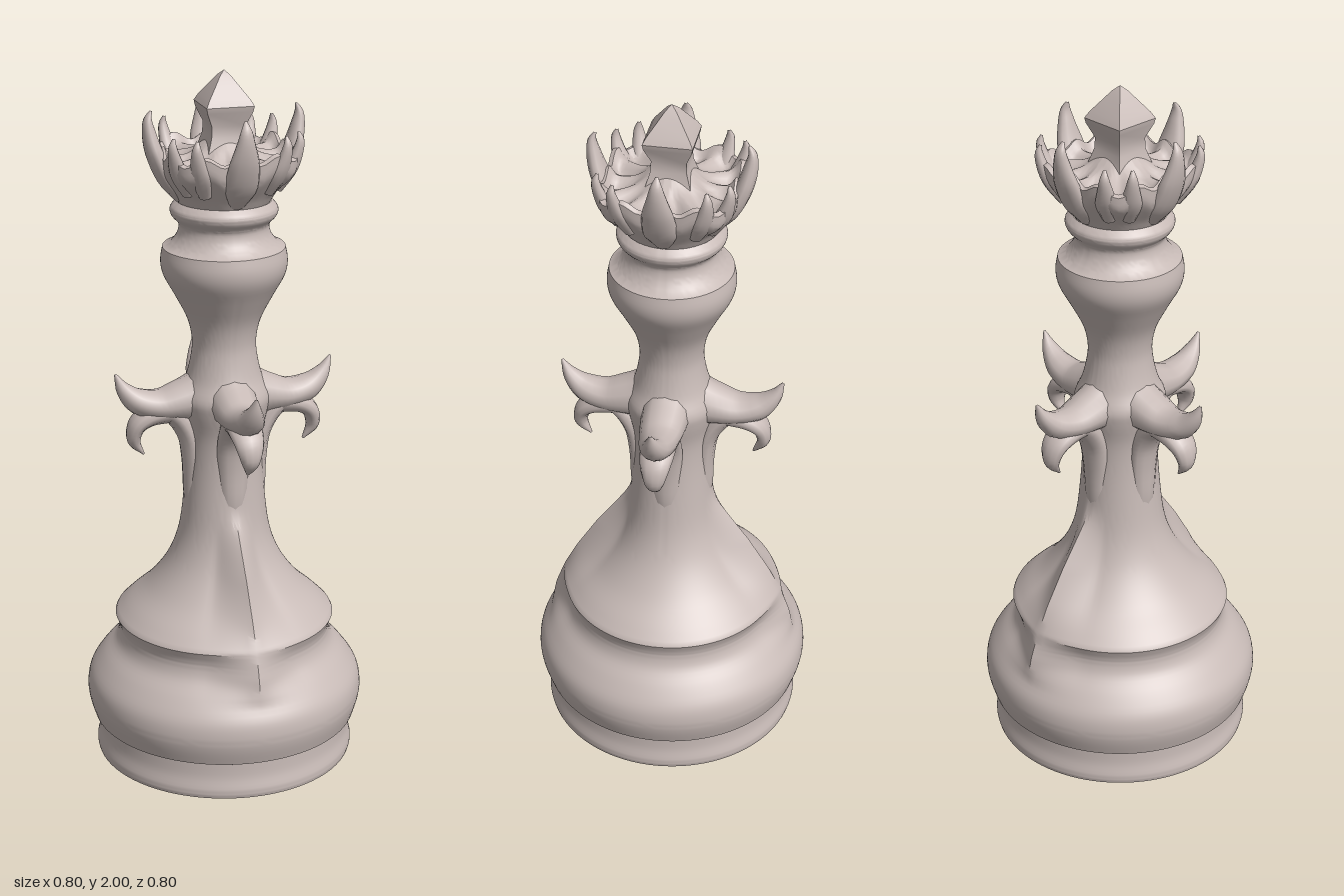
import * as THREE from 'three';
import { toCreasedNormals } from 'three/addons/utils/BufferGeometryUtils.js';

const stone = new THREE.MeshStandardMaterial({ color: 0xc8bbb7 });
stone.name = 'pale stone';

const { smoothstep, clamp, lerp } = THREE.MathUtils;

// Smooth profile through [radius, y] points
function smooth(points, perSpan = 4) {
  const curve = new THREE.SplineCurve(points.map(([r, y]) => new THREE.Vector2(r, y)));
  return curve.getPoints((points.length - 1) * perSpan);
}

// Lathe whose vertices may be moved by rule(radius, y, angle) => [radius, y]
function turned(name, profile, segments, rule, crease = 0.6, phi = 0) {
  const geo = new THREE.LatheGeometry(profile, segments, phi);
  const pos = geo.attributes.position;
  if (rule) {
    for (let i = 0; i < pos.count; i++) {
      const x = pos.getX(i), z = pos.getZ(i);
      const angle = Math.atan2(x, z);
      const [r, y] = rule(Math.hypot(x, z), pos.getY(i), angle);
      pos.setXYZ(i, r * Math.sin(angle), y, r * Math.cos(angle));
    }
  }
  const mesh = new THREE.Mesh(toCreasedNormals(geo, crease), stone);
  mesh.name = name;
  return mesh;
}

// Tapering horn in the xy plane; rows are [x, y, half thickness, half width]
function horn(rows, steps = 20, sides = 12) {
  const path = new THREE.CatmullRomCurve3(rows.map(([x, y]) => new THREE.Vector3(x, y, 0)));
  const size = new THREE.CatmullRomCurve3(rows.map(([, , a, b]) => new THREE.Vector3(a, b, 0)));
  const verts = [], index = [];
  for (let i = 0; i <= steps; i++) {
    const c = path.getPoint(i / steps), t = path.getTangent(i / steps), s = size.getPoint(i / steps);
    const a = Math.max(s.x, 0.001), b = Math.max(s.y, 0.001);
    for (let j = 0; j < sides; j++) {
      const p = (j / sides) * Math.PI * 2;
      const u = a * Math.cos(p);
      verts.push(c.x - t.y * u, c.y + t.x * u, b * Math.sin(p));
      if (i < steps) {
        const k = i * sides, n = (j + 1) % sides;
        index.push(k + j, k + n, k + sides + n, k + j, k + sides + n, k + sides + j);
      }
    }
  }
  const geo = new THREE.BufferGeometry();
  geo.setAttribute('position', new THREE.Float32BufferAttribute(verts, 3));
  geo.setIndex(index);
  geo.computeVertexNormals();
  return geo;
}

// Copies of one geometry turned about the vertical axis
function around(group, name, geo, angles) {
  for (const a of angles) {
    const mesh = new THREE.Mesh(geo, stone);
    mesh.name = name;
    mesh.rotation.y = a;
    group.add(mesh);
  }
}

// Crest radius of the front and back ridges by height
const CREST = [[0.26, 0.37], [0.29, 0.368], [0.35, 0.356], [0.425, 0.328], [0.5, 0.29],
  [0.6, 0.228], [0.68, 0.17], [0.73, 0.135], [0.77, 0.115]];

function ridge(r, y, angle) {
  if (y <= CREST[0][0] || y >= 0.77) return [r, y];
  const i = CREST.findIndex(([h]) => h > y);
  const [y0, r0] = CREST[i - 1], [y1, r1] = CREST[i];
  const crest = lerp(r0, r1, (y - y0) / (y1 - y0));
  const off = Math.min(Math.abs(angle), Math.PI - Math.abs(angle));
  const weight = Math.pow(clamp(1 - off / 0.45, 0, 1), 1.5);
  return [r + Math.max(0, crest - r) * weight, y];
}

// Cup flares to a rounded square with a scalloped rim
function cupRule(r, y, angle) {
  const k = smoothstep(y, 1.66, 1.76) * smoothstep(r, 0.06, 0.15);
  const corner = (1 - Math.cos(4 * angle)) / 2;
  return [r * (1 + 0.2 * k * corner), y + 0.012 * k * Math.cos(12 * angle)];
}

export function createModel() {
  const model = new THREE.Group();
  model.name = 'chessPiece';

  // Foot and rounded base
  const base = [new THREE.Vector2(0, 0),
    ...smooth([[0.372, 0], [0.375, 0.02], [0.366, 0.06], [0.364, 0.103]]),
    ...smooth([[0.382, 0.113], [0.396, 0.16], [0.4, 0.2], [0.39, 0.245], [0.355, 0.295],
      [0.318, 0.335], [0.305, 0.37], [0.307, 0.395], [0.316, 0.42]])];
  // Skirt, waist, neck and collars
  const stem = [
    ...smooth([[0.312, 0.428], [0.28, 0.46], [0.225, 0.51], [0.178, 0.57], [0.147, 0.63],
      [0.127, 0.7], [0.115, 0.8], [0.108, 0.9], [0.11, 0.98], [0.125, 1.05], [0.128, 1.09],
      [0.107, 1.14], [0.093, 1.2], [0.09, 1.25], [0.103, 1.31], [0.138, 1.38], [0.168, 1.435],
      [0.176, 1.475], [0.17, 1.515]]),
    ...smooth([[0.148, 1.525], [0.13, 1.55], [0.125, 1.58], [0.145, 1.605], [0.148, 1.625], [0.13, 1.645]]),
  ];
  model.add(turned('body', [...base, ...stem], 96, ridge));

  // Crown cup with an inner floor rising to the finial
  const cup = [
    ...smooth([[0.12, 1.63], [0.137, 1.66], [0.16, 1.7], [0.176, 1.74], [0.18, 1.785]]),
    ...smooth([[0.168, 1.79], [0.145, 1.765], [0.1, 1.775], [0.06, 1.805], [0.03, 1.83]]),
  ];
  model.add(turned('crownCup', cup, 96, cupRule));

  // Square pointed finial
  const finial = [[0.085, 1.785], [0.068, 1.825], [0.066, 1.855], [0.09, 1.895], [0.094, 1.91],
    [0.08, 1.928], [0.045, 1.962], [0.022, 1.985], [0, 2]].map(([r, y]) => new THREE.Vector2(r, y));
  model.add(turned('finial', finial, 4, null, 0.6, Math.PI / 4));

  const quarters = [0, 1, 2, 3].map((i) => (i * Math.PI) / 2);

  // Four tall crown horns, curling upward
  around(model, 'crownHorn', horn([[0.12, 1.66, 0.02, 0.025], [0.165, 1.72, 0.026, 0.048],
    [0.195, 1.785, 0.024, 0.042], [0.209, 1.84, 0.019, 0.026], [0.212, 1.875, 0.012, 0.016],
    [0.203, 1.9, 0.003, 0.004]]), quarters);

  // Paired smaller prongs at the crown corners
  const pairs = quarters.flatMap((q) => [q + Math.PI / 4 - 0.17, q + Math.PI / 4 + 0.17]);
  around(model, 'crownProng', horn([[0.15, 1.69, 0.018, 0.02], [0.188, 1.745, 0.02, 0.03],
    [0.208, 1.79, 0.016, 0.021], [0.216, 1.825, 0.011, 0.013], [0.211, 1.848, 0.003, 0.004]], 14, 10), pairs);

  // Four arms: upswept point, drooping hook and supporting bracket
  around(model, 'arm', horn([[0.05, 1.09, 0.085, 0.07], [0.12, 1.078, 0.06, 0.066],
    [0.19, 1.07, 0.043, 0.056], [0.25, 1.085, 0.037, 0.044], [0.29, 1.122, 0.022, 0.025],
    [0.314, 1.17, 0.003, 0.003]]), quarters);
  around(model, 'hook', horn([[0.16, 1.055, 0.04, 0.05], [0.22, 1.04, 0.03, 0.048],
    [0.255, 1.012, 0.024, 0.04], [0.263, 0.97, 0.019, 0.026], [0.235, 0.926, 0.003, 0.004]]), quarters);
  around(model, 'bracket', horn([[0.085, 0.7, 0.02, 0.025], [0.09, 0.8, 0.03, 0.04],
    [0.094, 0.9, 0.03, 0.046], [0.107, 0.98, 0.032, 0.05], [0.15, 1.045, 0.034, 0.05],
    [0.21, 1.07, 0.015, 0.035]]), quarters);

  return model;
}
